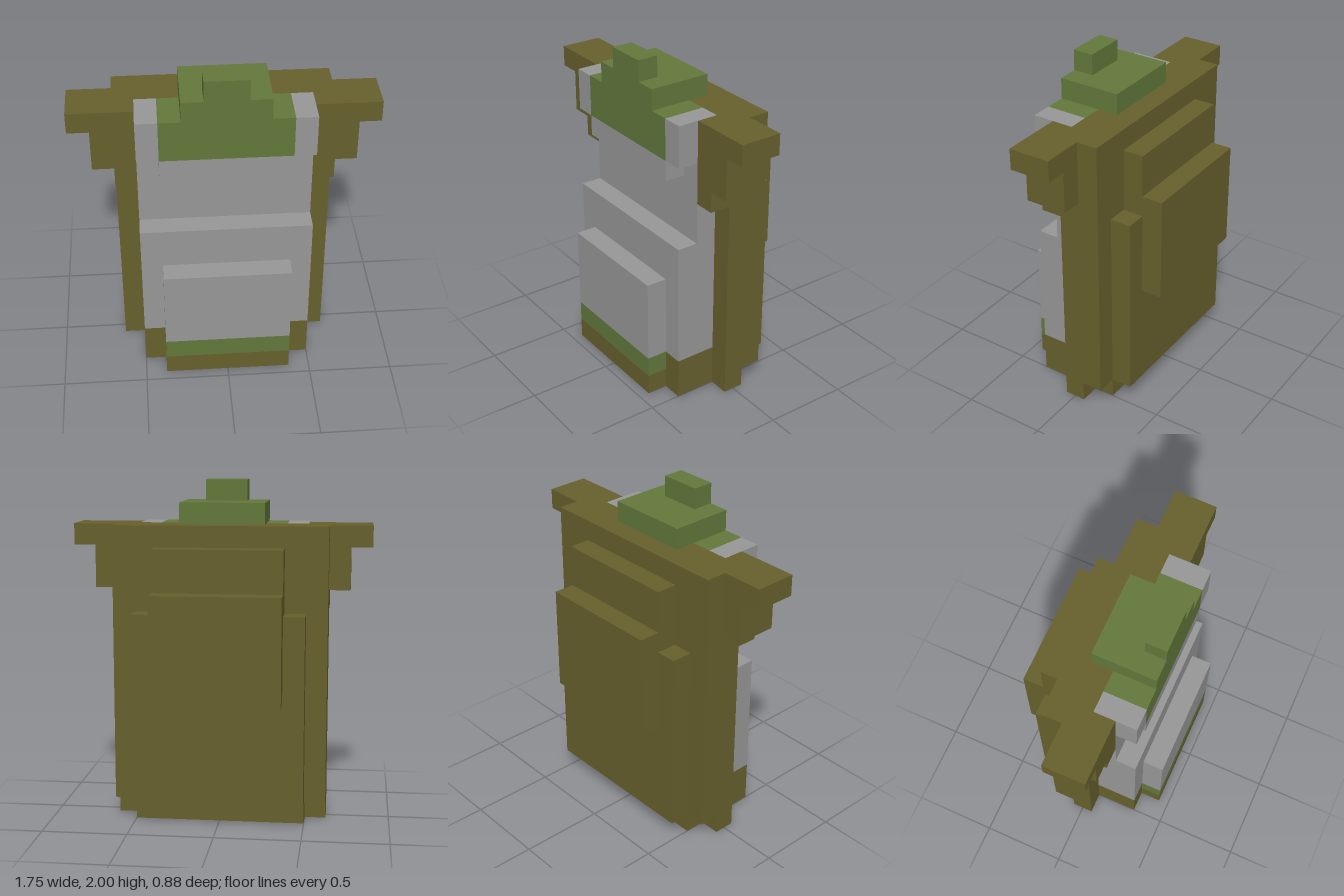
import * as THREE from 'three';

const U = 0.125; // size of one block

export function createModel() {
  const model = new THREE.Group();
  model.name = 'blockBackpack';

  const makeMaterial = (name, color) => {
    const m = new THREE.MeshStandardMaterial({ color });
    m.name = name;
    return m;
  };
  const olive = makeMaterial('olive', 0x67602d);
  const grey = makeMaterial('grey', 0x979797);
  const green = makeMaterial('green', 0x62783b);

  // Box given by its limits in blocks
  const box = (name, material, [x0, x1], [y0, y1], [z0, z1]) => {
    const geometry = new THREE.BoxGeometry((x1 - x0) * U, (y1 - y0) * U, (z1 - z0) * U);
    const mesh = new THREE.Mesh(geometry, material);
    mesh.name = name;
    mesh.position.set((x0 + x1) / 2 * U, (y0 + y1) / 2 * U, (z0 + z1) / 2 * U);
    model.add(mesh);
  };
  // Box centred on x, given by its half width
  const centred = (name, material, half, y, z) => box(name, material, [-half, half], y, z);
  // Mirrored pair of boxes
  const pair = (name, material, [x0, x1], y, z) => {
    box(name + 'Left', material, [x0, x1], y, z);
    box(name + 'Right', material, [-x1, -x0], y, z);
  };

  // Main shell, with its lower back corners cut away
  centred('shell', olive, 5, [1, 14], [-1.5, 0.5]);
  centred('shellBaseFront', olive, 5, [0, 1], [-0.5, 0.5]);
  centred('shellBaseBack', olive, 4, [0, 1], [-1.5, -0.5]);

  // Stepped back panels
  centred('backPanel', olive, 4, [1, 10], [-2.5, -1.5]);
  centred('backPanelTop', olive, 3, [10, 13], [-2.5, -1.5]);
  centred('backPad', olive, 3, [6, 11], [-3.5, -2.5]);

  // Stepped shoulders
  pair('shoulderInner', olive, [4, 5], [10, 14], [0.5, 1.5]);
  pair('shoulderMiddle', olive, [5, 6], [11, 14], [-0.5, 1.5]);
  pair('shoulderOuter', olive, [6, 7], [13, 14], [-0.5, 1.5]);

  // Front panel and belly
  centred('frontPanel', grey, 4, [2, 12], [0.5, 1.5]);
  centred('belly', grey, 4, [2, 8], [1.5, 2.5]);
  centred('bellyBase', olive, 4, [0, 2], [0.5, 2.5]);

  // Front pocket in three bands
  centred('pocket', grey, 3, [2, 6], [2.5, 3.5]);
  centred('pocketBand', green, 3, [1, 2], [2.5, 3.5]);
  centred('pocketBase', olive, 3, [0, 1], [2.5, 3.5]);

  // Collar and stepped cap
  centred('collarLip', grey, 3, [11, 12], [1.5, 2.5]);
  pair('collarSide', grey, [3, 4], [12, 14], [0.5, 2.5]);
  centred('capFront', green, 3, [12, 14], [0.5, 2.5]);
  centred('capStep', green, 2, [14, 15], [-0.5, 2.5]);
  centred('capTip', green, 1, [15, 16], [1.5, 2.5]);

  return model;
}
